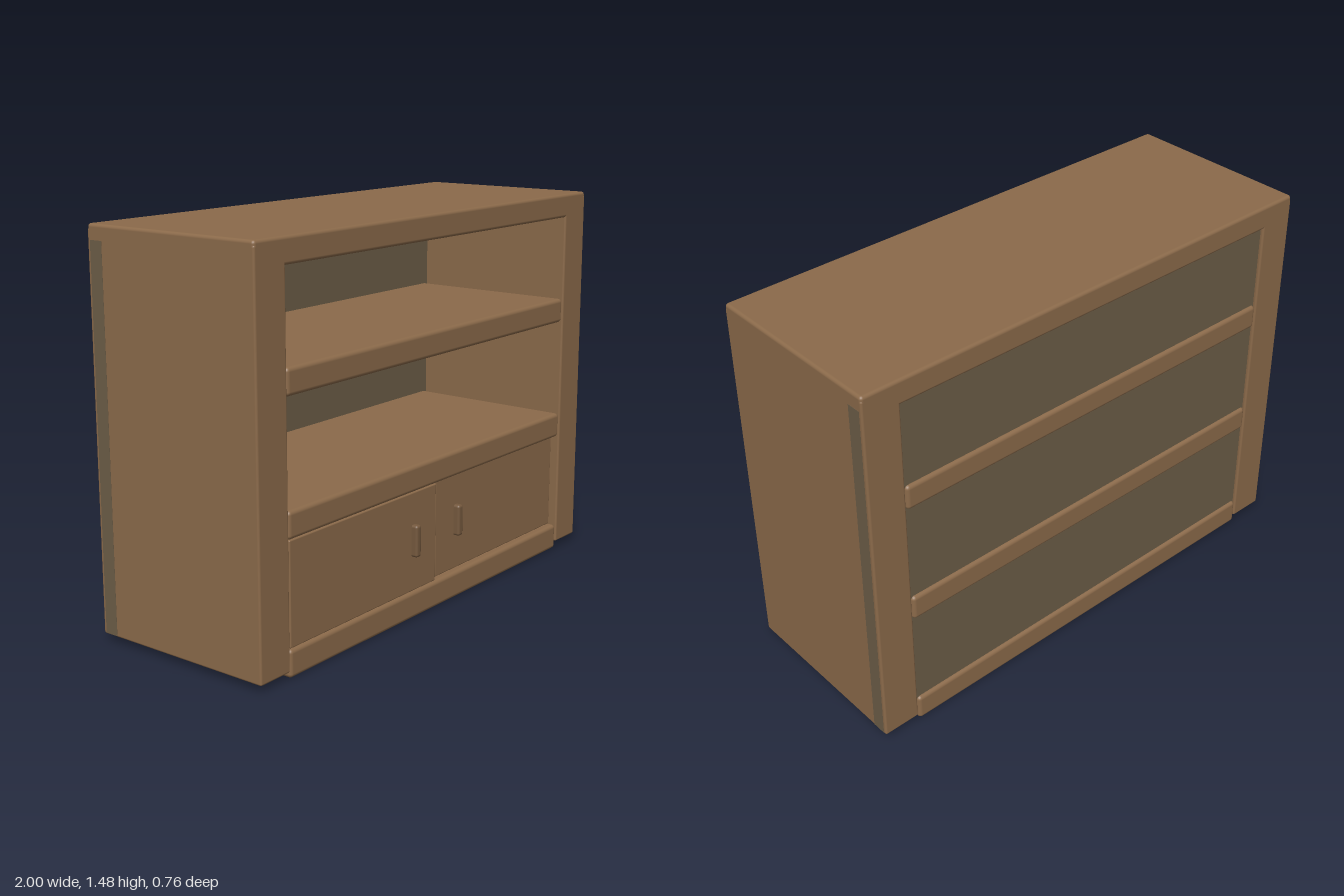
import * as THREE from 'three';
import { RoundedBoxGeometry } from 'three/addons/geometries/RoundedBoxGeometry.js';

const material = (name, color) => {
  const m = new THREE.MeshStandardMaterial({ color });
  m.name = name;
  return m;
};

export function createModel() {
  const group = new THREE.Group();
  const wood = material('wood', 0x8b6a4a);
  const backing = material('backing', 0x6c5d47);
  const handleWood = material('handleWood', 0x75593e);

  // Board given by its extents; a radius of 0 keeps sharp edges
  const board = (name, mat, [x0, x1], [y0, y1], [z0, z1], radius = 0.012) => {
    const size = [x1 - x0, y1 - y0, z1 - z0];
    const geometry = radius
      ? new RoundedBoxGeometry(...size, 3, radius)
      : new THREE.BoxGeometry(...size);
    const mesh = new THREE.Mesh(geometry, mat);
    mesh.name = name;
    mesh.position.set((x0 + x1) / 2, (y0 + y1) / 2, (z0 + z1) / 2);
    group.add(mesh);
  };

  const depth = [-0.38, 0.366];

  // Outer carcass
  board('topBoard', wood, [-1, 1], [1.387, 1.48], depth);
  board('leftSide', wood, [0.853, 1], [0.025, 1.465], depth, 0.008);
  board('rightSide', wood, [-1, -0.853], [0.025, 1.465], depth, 0.008);

  // Base and shelves run the full depth
  board('baseBoard', wood, [-0.853, 0.848], [0, 0.102], depth, 0.015);
  board('lowerShelf', wood, [-0.853, 0.848], [0.484, 0.583], depth, 0.015);
  board('upperShelf', wood, [-0.853, 0.848], [0.964, 1.06], depth, 0.015);

  // Back panel, its ends showing just proud of the sides
  board('backPanel', backing, [-1.0008, 1.0008], [0.03, 1.425], [-0.367, -0.312], 0);

  // Doors, the left one set slightly deeper, each with a bar handle
  const doors = [
    ['right', [-0.843, -0.014], -0.152, 0.359],
    ['left', [0.01, 0.837], 0.146, 0.339],
  ];
  for (const [side, span, handleX, front] of doors) {
    board(side + 'Door', wood, span, [0.104, 0.482], [front - 0.05, front], 0.005);
    board(side + 'Handle', handleWood, [handleX - 0.015, handleX + 0.015],
      [0.238, 0.36], [front - 0.01, front + 0.025], 0.01);
  }

  return group;
}
